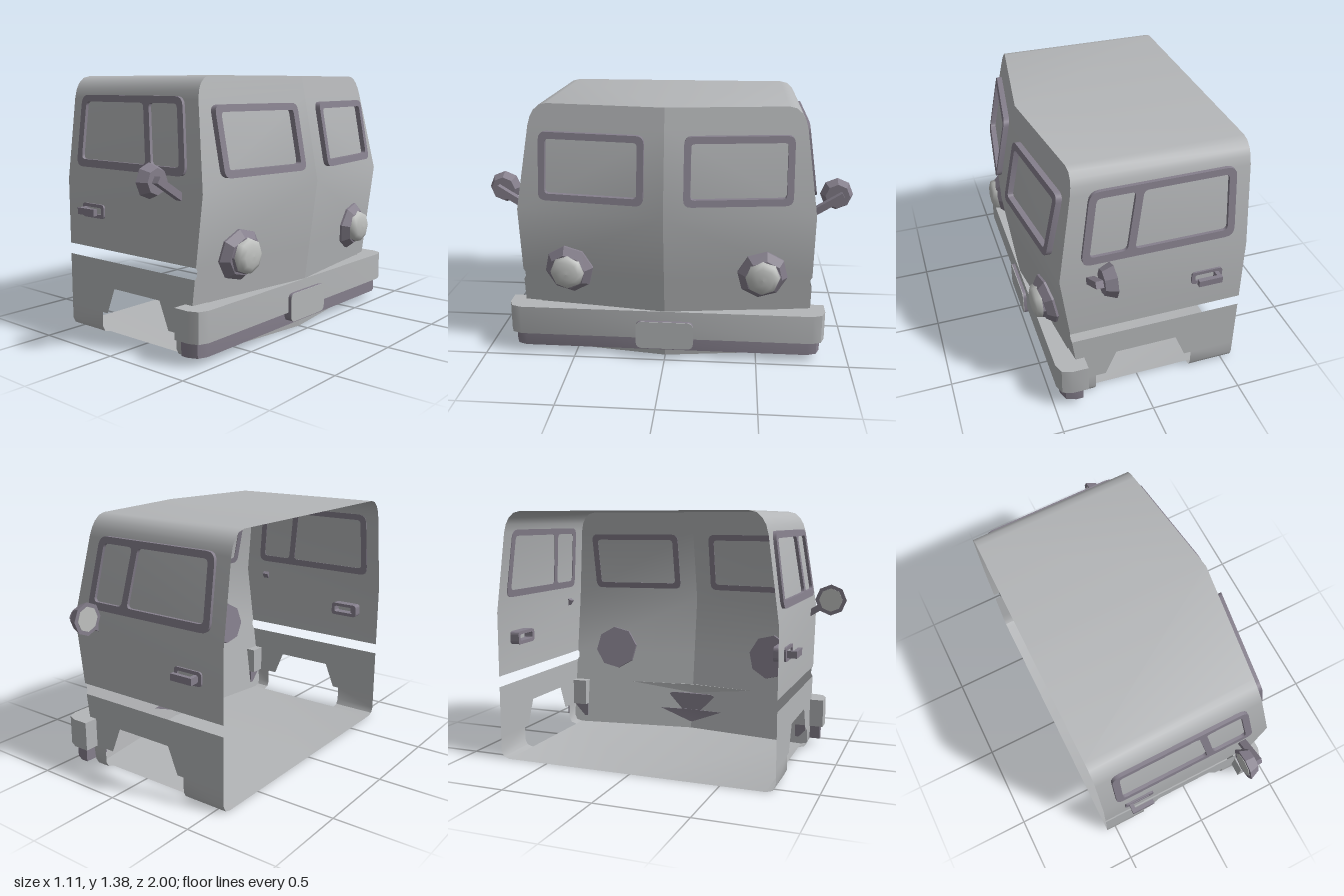
import * as THREE from 'three';
import { toCreasedNormals, mergeVertices } from 'three/addons/utils/BufferGeometryUtils.js';

const BACK = -0.555;
// front surface: V-shaped in plan, furthest forward at the belt line
const frontX = (z, y) => 0.55 - (y < 0.83 ? (0.83 - y) * 0.1325 : (y - 0.83) * 0.198) - 0.139 * Math.abs(z);
// side wall: upright below the belt line, leaning in above it
const wallZ = (y) => 0.79 - Math.max(0, y - 0.83) * 0.136;

// half cross-section from floor centre to roof centre: z, y, optional wheel cut-out in x
const SECTION = [
  [0, 0], [0.74, 0, -0.3, 0.255], [0.775, 0.01, -0.3, 0.255], [0.79, 0.04, -0.3, 0.255],
  [0.79, 0.12, -0.3, 0.255], [0.79, 0.12, -0.26, 0.2], [0.79, 0.265, -0.2, 0.14],
  [0.79, 0.41], [0.78, 0.425], [0.78, 0.455], [0.79, 0.47], [0.79, 0.83],
  [0.73, 1.27], [0.718, 1.315], [0.7, 1.348], [0.67, 1.375], [0.63, 1.385], [0, 1.385],
];

function flipZ(geo) {
  const g = geo.index ? geo.toNonIndexed() : geo.clone();
  g.scale(1, 1, -1);
  for (const a of Object.values(g.attributes)) {
    const n = a.itemSize;
    for (let t = 0; t < a.count; t += 3) {
      for (let k = 0; k < n; k++) {
        const i = (t + 1) * n + k, j = (t + 2) * n + k, v = a.array[i];
        a.array[i] = a.array[j];
        a.array[j] = v;
      }
    }
  }
  return g;
}

// one half of the shell, made of strips between section points
function shellHalf(side) {
  const pos = [];
  const quad = (a, b, c, d) => pos.push(...a, ...b, ...c, ...a, ...c, ...d);
  for (let i = 0; i < SECTION.length - 1; i++) {
    const [z0, y0, l0, r0] = SECTION[i], [z1, y1, l1, r1] = SECTION[i + 1];
    if (z0 === z1 && y0 === y1) continue;
    const f0 = frontX(z0, y0), f1 = frontX(z1, y1);
    if (side) {
      if (y0 >= 0.41 && y1 <= 0.47) continue; // open slot
      const strip = (a0, b0, a1, b1) => quad([a0, y0, z0], [b0, y0, z0], [b1, y1, z1], [a1, y1, z1]);
      if (l0 !== undefined && l1 !== undefined) {
        strip(BACK, l0, BACK, l1);
        strip(r0, f0, r1, f1);
      } else strip(BACK, f0, BACK, f1);
    } else if (y0 !== y1) {
      quad([f0, y0, z0], [frontX(0, y0), y0, 0], [frontX(0, y1), y1, 0], [f1, y1, z1]);
    }
  }
  const g = new THREE.BufferGeometry();
  g.setAttribute('position', new THREE.Float32BufferAttribute(pos, 3));
  return toCreasedNormals(g, 0.6);
}

// polygon with rounded corners
function rounded(points, r, Type = THREE.Shape) {
  const p = points.map(([x, y]) => new THREE.Vector2(x, y));
  const s = new Type();
  p.forEach((c, i) => {
    const a = p[(i + p.length - 1) % p.length], b = p[(i + 1) % p.length];
    const p0 = c.clone().add(a.clone().sub(c).setLength(r));
    const p1 = c.clone().add(b.clone().sub(c).setLength(r));
    if (i) s.lineTo(p0.x, p0.y); else s.moveTo(p0.x, p0.y);
    s.quadraticCurveTo(c.x, c.y, p1.x, p1.y);
  });
  s.closePath();
  return s;
}
const rect = (x0, y0, x1, y1) => [[x0, y0], [x1, y0], [x1, y1], [x0, y1]];

function frame(outer, holes, r, depth) {
  const s = rounded(outer, r);
  holes.forEach((h) => s.holes.push(rounded(h, r * 0.5, THREE.Path)));
  return new THREE.ExtrudeGeometry(s, { depth, bevelEnabled: false, curveSegments: 4 });
}

// move every vertex by a rule, then renew the normals
function drape(geo, rule) {
  const p = geo.attributes.position;
  for (let i = 0; i < p.count; i++) p.setXYZ(i, ...rule(p.getX(i), p.getY(i), p.getZ(i)));
  geo.deleteAttribute('uv');
  return toCreasedNormals(geo, 0.5);
}

// horizontal bar with a plan drawn as z across, x forward
function bar(halfZ, front, back, y0, y1) {
  const r = 0.07;
  const half = [[halfZ, back], [halfZ, front - r], [halfZ - 0.02, front - 0.02], [halfZ - r, front]];
  const inner = [[0.7, 0.385], [0.7, back]];
  const s = new THREE.Shape();
  s.moveTo(0, 0.47 - (0.48 - front));
  const right = [...inner, ...half];
  right.forEach(([z, x]) => s.lineTo(z, x));
  [...right].reverse().forEach(([z, x]) => s.lineTo(-z, x));
  const g = new THREE.ExtrudeGeometry(s, { depth: y1 - y0, bevelEnabled: false });
  return drape(g, (u, v, w) => [v, y0 + w, u]);
}

export function createModel() {
  const root = new THREE.Group();
  root.name = 'vanCab';
  const mat = (name, color) => {
    const m = new THREE.MeshStandardMaterial({ color });
    m.name = name;
    return m;
  };
  const paint = mat('bodyGrey', 0xb4b6b8);
  paint.side = THREE.DoubleSide;
  const trim = mat('trimMauveGrey', 0x857f8c);
  const glass = mat('lensGrey', 0xbfc1bf);

  const add = (name, geo, m) => {
    const mesh = new THREE.Mesh(geo, m);
    mesh.name = name;
    root.add(mesh);
    return mesh;
  };
  const pair = (name, geo, m) => {
    add(name + 'Left', geo, m);
    add(name + 'Right', flipZ(geo), m);
  };

  // body shell, open at the back
  pair('bodyShell', shellHalf(true), paint);
  pair('frontPanel', shellHalf(false), paint);

  // side window frames with slanted divider
  const sideFrame = frame(
    [[-0.475, 0.905], [0.332, 0.905], [0.27, 1.285], [-0.475, 1.285]],
    [[[-0.437, 0.945], [0.055, 0.945], [0.003, 1.25], [-0.437, 1.25]],
      [[0.094, 0.945], [0.288, 0.945], [0.238, 1.25], [0.042, 1.25]]], 0.05, 0.02);
  pair('sideWindowFrame', drape(sideFrame, (x, y, z) => [x, y, wallZ(y) - 0.003 + z]), trim);

  // windscreen frames following the raked front
  const screen = frame(rect(-0.665, 0.895, -0.103, 1.245), [rect(-0.63, 0.93, -0.138, 1.21)], 0.04, 0.033);
  pair('windscreenFrame', drape(screen, (u, y, w) => [frontX(u, y) - 0.003 + w, y, -u]), trim);

  // door handles: cup rim and L-shaped pull
  const cup = frame(rect(-0.43, 0.635, -0.26, 0.71), [rect(-0.41, 0.655, -0.28, 0.692)], 0.02, 0.065);
  pair('handleCup', cup.translate(0, 0, 0.735), trim);
  pair('handlePost', new THREE.BoxGeometry(0.022, 0.036, 0.09).translate(-0.397, 0.673, 0.795), trim);
  pair('handlePull', new THREE.BoxGeometry(0.13, 0.036, 0.022).translate(-0.345, 0.673, 0.84), trim);

  // round wing mirrors on slanted arms
  const head = new THREE.CylinderGeometry(0.065, 0.088, 0.057, 8).rotateZ(-Math.PI / 2);
  pair('mirrorHead', toCreasedNormals(head, 0.4).translate(0.238, 0.89, 0.912), trim);
  const mirrorGlass = new THREE.CylinderGeometry(0.066, 0.066, 0.004, 8).rotateZ(-Math.PI / 2);
  pair('mirrorGlass', mirrorGlass.translate(0.209, 0.89, 0.912), glass);
  const arm = new THREE.BoxGeometry(0.04, 0.036, 0.19).rotateX(-0.56).translate(0.285, 0.852, 0.86);
  pair('mirrorArm', arm, trim);

  // headlights: bevelled ring lying on the panel, rim and domed lens facing forward
  const ringProfile = [[0, -0.02], [0.135, -0.02], [0.137, 0.012], [0.1, 0.05], [0, 0.05]];
  const ring = new THREE.LatheGeometry(ringProfile.map(([x, y]) => new THREE.Vector2(x, y)), 8);
  const normal = new THREE.Vector3(1, -0.1325, 0.139).normalize();
  ring.applyQuaternion(new THREE.Quaternion().setFromUnitVectors(new THREE.Vector3(0, 1, 0), normal));
  pair('headlightRing', toCreasedNormals(ring.toNonIndexed(), 0.4).translate(0.434, 0.5, 0.52), trim);
  const rim = new THREE.CylinderGeometry(0.086, 0.103, 0.06, 8).rotateZ(-Math.PI / 2);
  pair('headlightRim', toCreasedNormals(rim, 0.4).translate(0.482, 0.5, 0.52), trim);
  const dome = [[0.094, -0.03], [0.086, 0], [0.06, 0.013], [0.03, 0.018], [0, 0.02]];
  const lens = new THREE.LatheGeometry(dome.map(([x, y]) => new THREE.Vector2(x, y)), 8).rotateZ(-Math.PI / 2);
  pair('headlightLens', mergeVertices(lens).translate(0.514, 0.5, 0.52), glass);

  // bumper, its lower valance and the blank plate
  add('bumper', bar(0.868, 0.48, 0.32, 0.12, 0.28), paint);
  add('bumperValance', bar(0.848, 0.455, 0.345, 0.04, 0.12), trim);
  const plate = (depth, x) => drape(frame(rect(-0.157, 0.068, 0.157, 0.225), [], 0.035, depth),
    (u, y, w) => [x + w, y, -u]);
  add('plateBacking', plate(0.05, 0.447), trim);
  add('plateFace', plate(0.004, 0.497), paint);

  return root;
}
